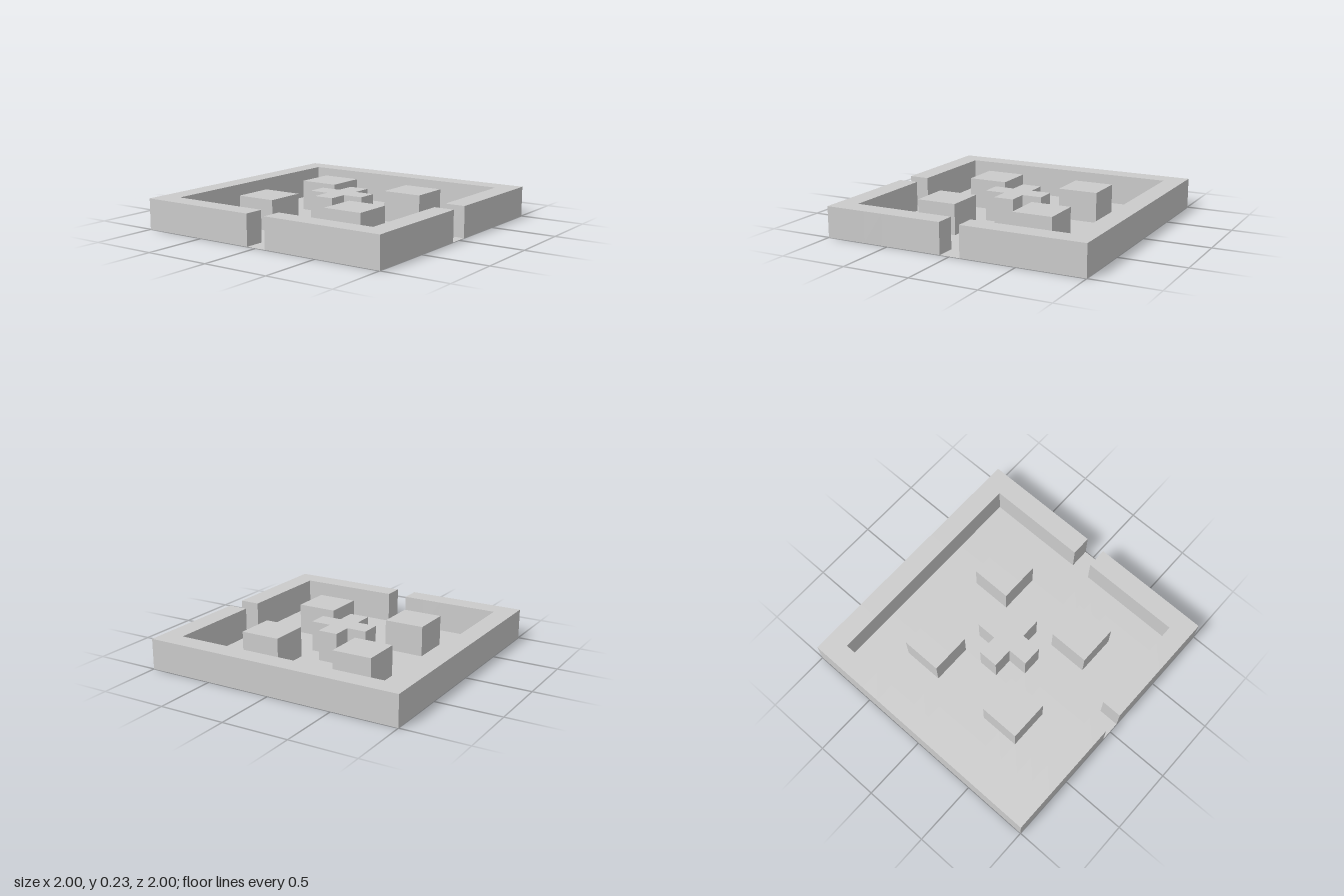
import * as THREE from 'three';
import { mergeGeometries } from 'three/addons/utils/BufferGeometryUtils.js';

// Plan of the courtyard, back row first: W wall, B block, C cross, . floor
const PLAN = [
  'WWWWWWWWWWWWW',
  'W...........W',
  'W...........W',
  'W..BB...BB..W',
  'W..BB...BB..W',
  'W.....C.....W',
  'W....CCC.....',
  'W.....C.....W',
  'W..BB...BB..W',
  'W..BB...BB..W',
  'W...........W',
  'W...........W',
  'WWWWWW.WWWWWW',
];
const CELL = 2 / PLAN.length;
const HEIGHT = CELL * 1.5;

// Hollow cell: four sides and a top, open underneath
function hollowCell() {
  const g = new THREE.BoxGeometry(CELL, HEIGHT, CELL);
  const index = Array.from(g.index.array);
  index.splice(18, 6); // drop the bottom face
  g.setIndex(index);
  g.clearGroups();
  return g.translate(0, HEIGHT / 2, 0);
}

// One flat square of ground
function floorCell() {
  return new THREE.PlaneGeometry(CELL, CELL).rotateX(-Math.PI / 2);
}

export function createModel() {
  const group = new THREE.Group();
  group.name = 'courtyard';
  const material = new THREE.MeshStandardMaterial({ color: 0xcccccc, side: THREE.DoubleSide });

  // Gather the cells of one kind into a single mesh
  const addPart = (name, symbol, makeCell) => {
    const cells = [];
    PLAN.forEach((row, j) => [...row].forEach((c, i) => {
      if (c !== symbol) return;
      cells.push(makeCell().translate(-1 + (i + 0.5) * CELL, 0, -1 + (j + 0.5) * CELL));
    }));
    const mesh = new THREE.Mesh(mergeGeometries(cells), material);
    mesh.name = name;
    group.add(mesh);
  };

  addPart('floor', '.', floorCell);
  addPart('outerWall', 'W', hollowCell);
  addPart('squareBlocks', 'B', hollowCell);
  addPart('centreCross', 'C', hollowCell);
  return group;
}
